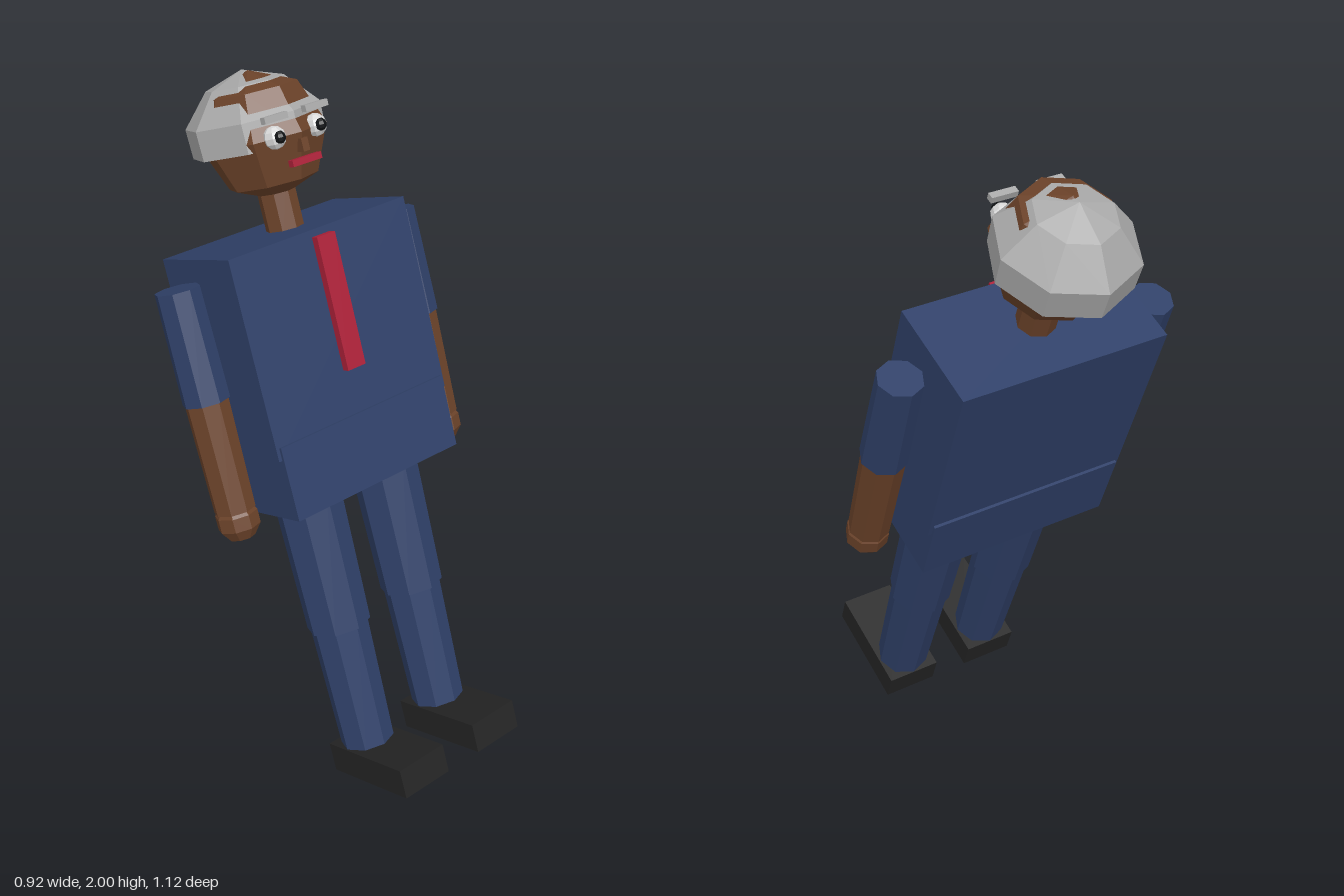
import * as THREE from 'three';

const mat = (name, color) => {
  const m = new THREE.MeshStandardMaterial({ color, flatShading: true });
  m.name = name;
  return m;
};

export function createModel() {
  const navy = mat('navy cloth', 0x2f4068);
  const skin = mat('brown skin', 0x6b4229);
  const grey = mat('grey hair', 0xa9a9a9);
  const red = mat('red', 0xab2038);
  const black = mat('black leather', 0x242424);
  const white = mat('eye white', 0xd8d8d8);
  const dark = mat('pupil', 0x101214);

  const root = new THREE.Group();
  root.name = 'figure';
  const body = new THREE.Group();
  body.name = 'leaningBody';
  // the whole body leans back and turns slightly
  body.rotation.set(-20 * Math.PI / 180, 0.032, 0, 'YXZ');
  root.add(body);

  const add = (name, geo, material, x, y, z) => {
    const m = new THREE.Mesh(geo, material);
    m.name = name;
    m.position.set(x, y, z);
    body.add(m);
    return m;
  };
  const box = (name, material, w, h, d, x, y, z) =>
    add(name, new THREE.BoxGeometry(w, h, d), material, x, y, z);
  // eight-sided limb between two heights
  const limb = (name, material, rTop, rBottom, y0, y1, x) =>
    add(name, new THREE.CylinderGeometry(rTop, rBottom, y1 - y0, 8), material, x, (y0 + y1) / 2, 0.304);

  // trunk
  box('torso', navy, 0.627, 0.573, 0.325, 0, 1.287, 0.3);
  box('hips', navy, 0.606, 0.217, 0.342, 0, 0.929, 0.3);
  box('tie', red, 0.064, 0.385, 0.025, 0, 1.361, 0.473);
  limb('neck', skin, 0.055, 0.055, 1.56, 1.71, 0);

  // arms and legs
  for (const [side, s] of [['left', 1], ['right', -1]]) {
    limb(side + 'UpperArm', navy, 0.064, 0.068, 1.195, 1.515, s * 0.393);
    limb(side + 'Forearm', skin, 0.063, 0.06, 0.872, 1.195, s * 0.393);
    add(side + 'Hand', new THREE.SphereGeometry(0.065, 8, 5), skin, s * 0.393, 0.842, 0.305);
    limb(side + 'Thigh', navy, 0.102, 0.096, 0.404, 0.84, s * 0.147);
    limb(side + 'LowerLeg', navy, 0.088, 0.081, 0.0, 0.41, s * 0.147);
    box(side + 'Shoe', black, 0.171, 0.09, 0.333, s * 0.147, -0.03, 0.388);
  }

  // head with a cap of hair set slightly back
  add('head', new THREE.SphereGeometry(0.181, 8, 4), skin, 0, 1.837, 0.305);
  const hairProfile = [[0, 1.812], [0.192, 1.812], [0.194, 1.895], [0.112, 1.985], [0, 2.022]]
    .map(([r, y]) => new THREE.Vector2(r, y));
  add('hair', new THREE.LatheGeometry(hairProfile, 8), grey, 0, 0, 0.277);

  // face
  for (const [side, s] of [['left', 1], ['right', -1]]) {
    add(side + 'Eye', new THREE.SphereGeometry(0.032, 8, 6), white, s * 0.071, 1.84, 0.456);
    add(side + 'Pupil', new THREE.SphereGeometry(0.018, 8, 6), dark, s * 0.071, 1.84, 0.478);
    box(side + 'Eyebrow', grey, 0.078, 0.018, 0.02, s * 0.07, 1.892, 0.474);
  }
  box('nose', skin, 0.022, 0.036, 0.03, 0, 1.803, 0.474);
  box('mouth', red, 0.1, 0.018, 0.02, 0, 1.762, 0.472);

  return root;
}
